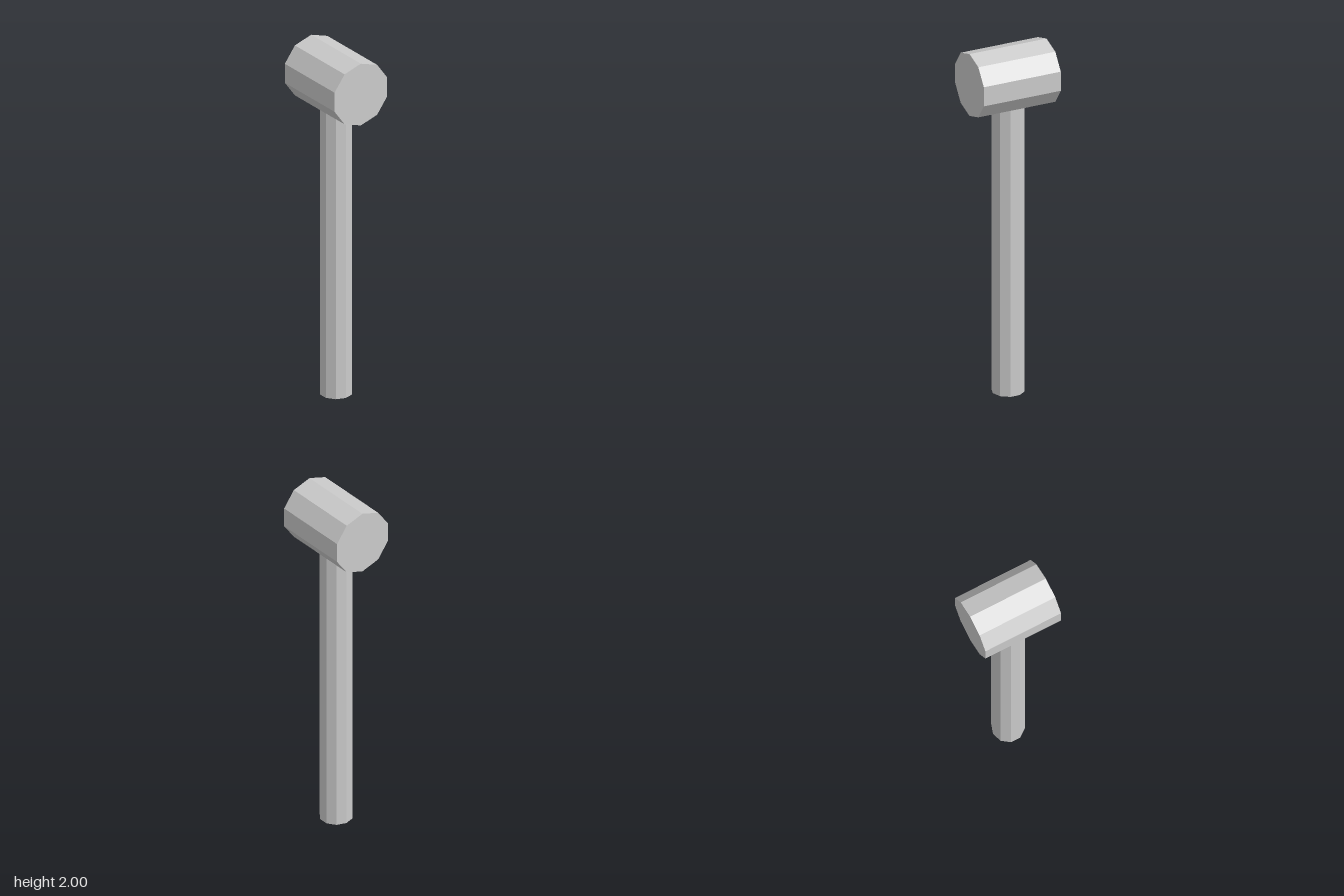
import * as THREE from 'three';

const SIDES = 10;

export function createModel() {
  const group = new THREE.Group();
  group.name = 'mallet';
  const material = new THREE.MeshStandardMaterial({ color: 0xcccccc, flatShading: true });

  // Ten-sided bar with a pair of corners on its local x axis
  const bar = (name, radius, length, y) => {
    const geometry = new THREE.CylinderGeometry(radius, radius, length, SIDES, 1, false, Math.PI / 2);
    const mesh = new THREE.Mesh(geometry, material);
    mesh.name = name;
    mesh.position.y = y;
    group.add(mesh);
    return mesh;
  };

  // Upright handle, ending inside the head
  bar('handle', 0.09, 1.8, 0.9);

  // Head lying along x, with a corner at the top and bottom
  bar('head', 0.18, 0.456, 1.82).rotation.z = Math.PI / 2;

  return group;
}
